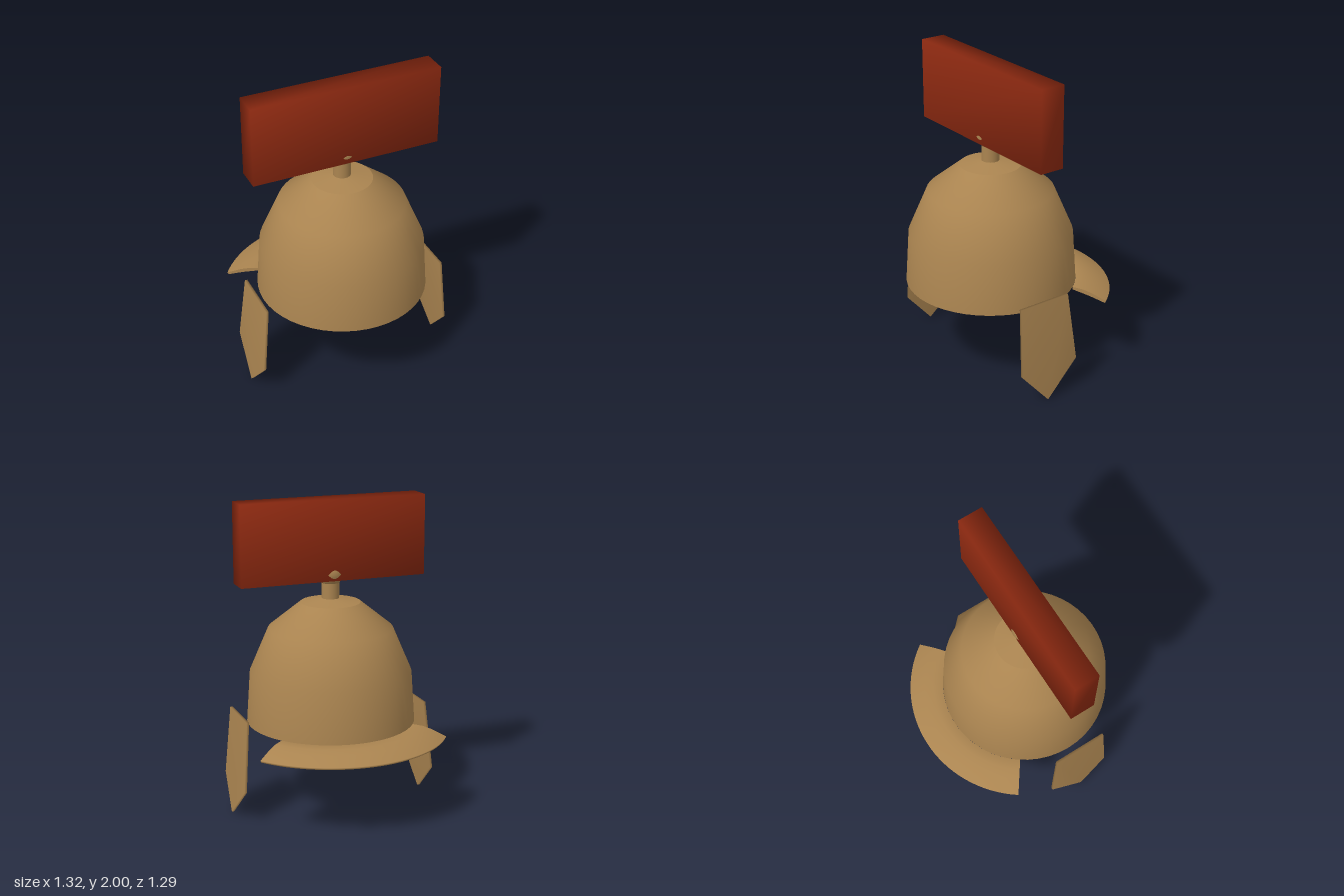
import * as THREE from 'three';
import { mergeVertices } from 'three/addons/utils/BufferGeometryUtils.js';

const CENTRE_Z = 0.107;
const V = (pts) => pts.map(([x, y]) => new THREE.Vector2(x, y));

// Share corners so that shading runs softly across the edges
function soften(geometry) {
  geometry.deleteAttribute('normal');
  geometry.deleteAttribute('uv');
  geometry.clearGroups();
  const merged = mergeVertices(geometry, 1e-4);
  merged.computeVertexNormals();
  return merged;
}

export function createModel() {
  const bronze = new THREE.MeshStandardMaterial({ color: 0xaa8450, side: THREE.DoubleSide });
  bronze.name = 'bronze';
  const red = new THREE.MeshStandardMaterial({ color: 0x8a2810 });
  red.name = 'crest red';

  const model = new THREE.Group();
  model.name = 'helmet';
  const add = (name, geometry, material, parent = model) => {
    const mesh = new THREE.Mesh(geometry, material);
    mesh.name = name;
    parent.add(mesh);
    return mesh;
  };
  const turned = (name, pts) => {
    add(name, new THREE.LatheGeometry(V(pts), 48), bronze).position.z = CENTRE_Z;
  };

  // Open bowl and the crest holder on top of it
  turned('bowl', [[0.537, 0.577], [0.515, 0.9], [0.395, 1.18], [0.19, 1.345]]);
  turned('bowlCap', [[0.19, 1.345], [0.055, 1.37]]);
  turned('crestStem', [[0.055, 1.36], [0.055, 1.47]]);
  turned('crestKnob', [[0.055, 1.468], [0.07, 1.487], [0.088, 1.53], [0.07, 1.575], [0, 1.6]]);

  // Crest block
  const crest = add('crest', soften(new THREE.BoxGeometry(1.21, 0.51, 0.16)), red);
  crest.position.set(0, 1.745, 0.11);

  // Neck guard: thin sloping section swept around the back, with closed ends
  const section = V([
    [0.537, 0.562], [0.65, 0.532], [0.748, 0.5], [0.755, 0.514],
    [0.66, 0.555], [0.6, 0.572], [0.537, 0.578], [0.537, 0.562],
  ]);
  const half = 0.953;
  const neckGuard = new THREE.Group();
  neckGuard.name = 'neckGuard';
  neckGuard.position.z = CENTRE_Z;
  model.add(neckGuard);
  add('neckGuardFlange', new THREE.LatheGeometry(section, 32, Math.PI - half, 2 * half), bronze, neckGuard);
  for (const side of [-1, 1]) {
    const end = add('neckGuardEnd', new THREE.ShapeGeometry(new THREE.Shape(section)), bronze, neckGuard);
    end.rotation.y = Math.PI / 2 + side * half;
  }

  // Cheek guards: pointed plates that splay outwards towards the bottom
  const outline = new THREE.Shape(V([
    [-0.03, 0.655], [-0.075, 0.215], [0.155, 0.005], [0.34, 0.215], [0.325, 0.655],
  ]));
  const plate = new THREE.ExtrudeGeometry(outline, { depth: 0.016, bevelEnabled: false });
  plate.rotateY(-Math.PI / 2);
  const pos = plate.attributes.position;
  for (let i = 0; i < pos.count; i++) {
    pos.setX(i, pos.getX(i) + 0.661 - 0.084 * pos.getY(i));
  }
  const cheek = soften(plate);
  add('leftCheekGuard', cheek, bronze);
  add('rightCheekGuard', cheek, bronze).scale.x = -1;

  // Settle the lowest tip on the ground
  model.children.forEach((part) => { part.position.y -= 0.002; });
  return model;
}
